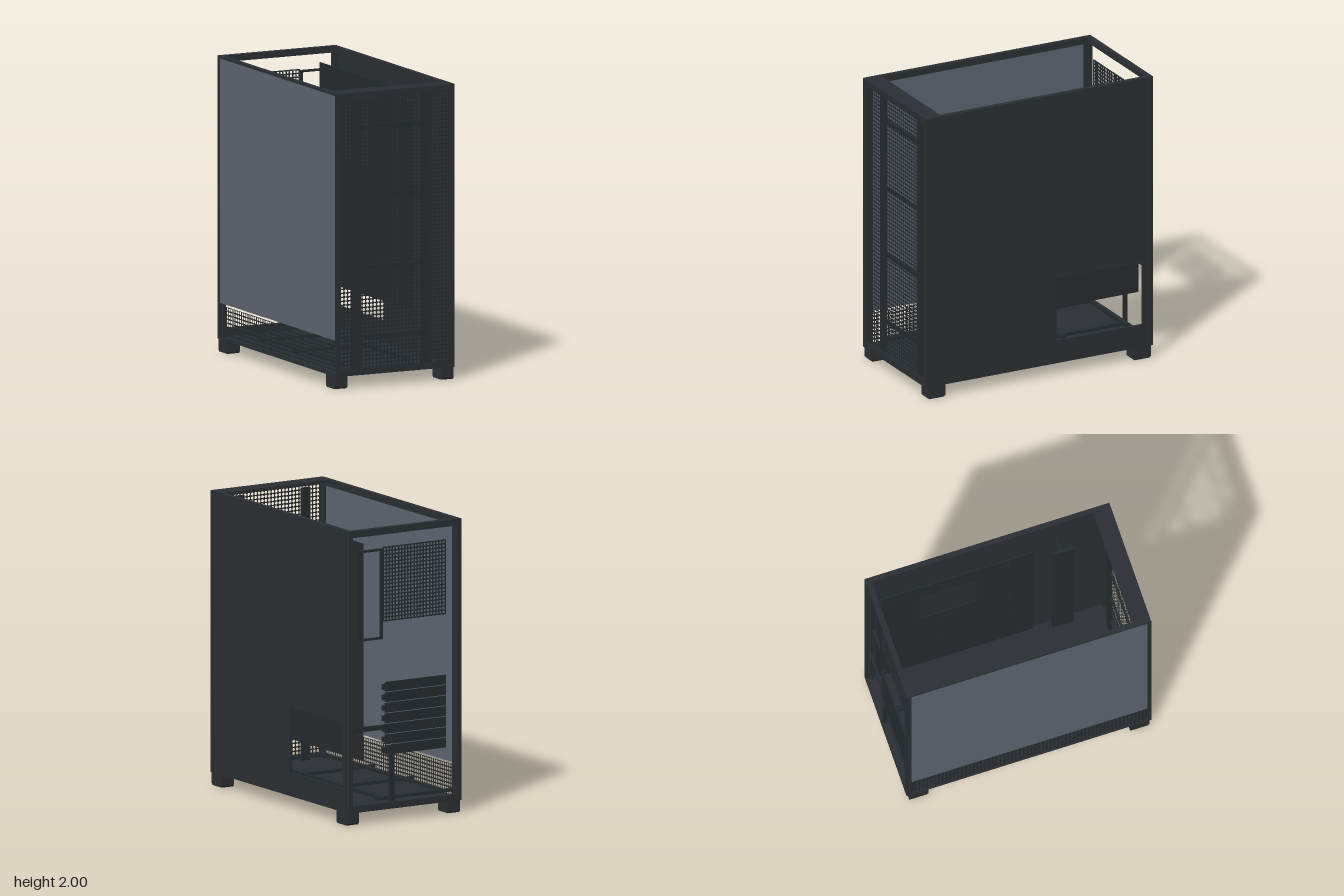
import * as THREE from 'three';
import { mergeGeometries } from 'three/addons/utils/BufferGeometryUtils.js';

const body = new THREE.MeshStandardMaterial({ color: 0x2a2f33 });
body.name = 'charcoal steel';
const inner = new THREE.MeshStandardMaterial({ color: 0x262b2e, side: THREE.DoubleSide });
inner.name = 'dark inner steel';
const glassMat = new THREE.MeshStandardMaterial({ color: 0x5e6471 });
glassMat.name = 'smoky glass';

// Box geometry from its limits along each axis
function span(x0, x1, y0, y1, z0, z1) {
  return new THREE.BoxGeometry(x1 - x0, y1 - y0, z1 - z0)
    .translate((x0 + x1) / 2, (y0 + y1) / 2, (z0 + z1) / 2);
}

function rect(Type, x0, x1, y0, y1) {
  return new Type([[x0, y0], [x1, y0], [x1, y1], [x0, y1]].map(p => new THREE.Vector2(...p)));
}

// Sheet of square tiles, each with a round hole, lying in the xy plane
function perforated(w, h, cols, rows, radius) {
  const tw = w / cols, th = h / rows;
  const shape = rect(THREE.Shape, -tw / 2, tw / 2, -th / 2, th / 2);
  const hole = [];
  for (let i = 0; i < 8; i++) {
    const a = (i + 0.5) * Math.PI / 4;
    hole.push(new THREE.Vector2(Math.cos(a) * radius, Math.sin(a) * radius));
  }
  shape.holes.push(new THREE.Path(hole));
  const tile = new THREE.ShapeGeometry(shape);
  const tiles = [];
  for (let i = 0; i < cols; i++) {
    for (let j = 0; j < rows; j++) {
      tiles.push(tile.clone().translate((i + 0.5) * tw - w / 2, (j + 0.5) * th - h / 2, 0));
    }
  }
  return mergeGeometries(tiles);
}

// Upright plate facing x, with an opening; all limits are [z0, z1, y0, y1]
function sidePlate(outer, opening, x, depth) {
  const flip = ([z0, z1, y0, y1]) => [-z1, -z0, y0, y1];
  const shape = rect(THREE.Shape, ...flip(outer));
  shape.holes.push(rect(THREE.Path, ...flip(opening)));
  return new THREE.ExtrudeGeometry(shape, { depth, bevelEnabled: false })
    .rotateY(Math.PI / 2).translate(x, 0, 0);
}

// Rectangular frame facing z
function frame(x0, x1, y0, y1, z0, z1, side, bottom, top) {
  const shape = rect(THREE.Shape, x0, x1, y0, y1);
  shape.holes.push(rect(THREE.Path, x0 + side, x1 - side, y0 + bottom, y1 - top));
  return new THREE.ExtrudeGeometry(shape, { depth: z1 - z0, bevelEnabled: false }).translate(0, 0, z0);
}

export function createModel() {
  const group = new THREE.Group();
  const add = (name, geometry, material) => {
    const mesh = new THREE.Mesh(geometry, material);
    mesh.name = name;
    group.add(mesh);
    return mesh;
  };

  // Outer shell: floor, top ring, front and back frames
  add('floor', span(-0.445, 0.445, 0.085, 0.1, -0.86, 0.86), body);
  add('topFrontPlate', span(-0.445, 0.445, 1.985, 2, 0.735, 0.86), body);
  add('topBackRail', span(-0.445, 0.445, 1.985, 2, -0.86, -0.82), body);
  add('frontFrame', frame(-0.445, 0.445, 0.1, 1.985, 0.84, 0.86, 0.035, 0.03, 0.03), body);
  add('backFrame', frame(-0.445, 0.445, 0.1, 1.985, -0.86, -0.832, 0.035, 0.03, 0.03), body);
  for (const s of [-1, 1]) {
    const a = Math.min(s * 0.445, s * 0.41), b = Math.max(s * 0.445, s * 0.41);
    add('topSideRail', span(a, b, 1.985, 2, -0.82, 0.735), body);
    const c = Math.min(s * 0.428, s * 0.41), d = Math.max(s * 0.428, s * 0.41);
    add('upperInnerRail', span(c, d, 1.955, 1.985, -0.82, 0.83), body);
    add('frontPost', span(c, d, 0.1, 1.955, 0.8, 0.83), body);
    add('backPost', span(c, d, 0.1, 1.955, -0.822, -0.8), body);
  }

  // Side panels: steel with a service opening on the left, glass over mesh on the right
  add('steelSidePanel', sidePlate([-0.822, 0.831, 0.1, 1.985], [-0.78, -0.13, 0.245, 0.69], 0.43, 0.015), body);
  add('glassSidePanel', span(-0.445, -0.43, 0.33, 1.985, -0.822, 0.831), glassMat);
  const strip = perforated(1.653, 0.215, 61, 8, 0.0105).rotateY(-Math.PI / 2).translate(-0.438, 0.207, 0.0045);
  add('lowerSideMesh', strip, inner);

  // Perforated front and the fan bracket behind it
  add('frontMesh', perforated(0.82, 1.825, 30, 67, 0.0108).translate(0, 1.0425, 0.85), inner);
  for (const x of [-0.265, 0.255]) {
    add('fanUpright', span(x - 0.034, x + 0.034, 0.1, 1.955, 0.79, 0.805), inner);
  }
  for (let i = 0; i < 4; i++) {
    const y = 0.325 + i * 0.475;
    add('fanCrossbar', span(-0.231, 0.221, y - 0.014, y + 0.014, 0.79, 0.805), inner);
  }

  // Floor rails
  for (const x of [-0.34, 0.14]) {
    add('floorRail', span(x - 0.015, x + 0.015, 0.14, 0.16, -0.82, 0.735), inner);
  }
  for (const z of [-0.803, -0.315, 0.17]) {
    add('floorCrossRail', span(-0.41, 0.195, 0.142, 0.162, z - 0.015, z + 0.015), inner);
  }

  // Component tray with its standoffs and cable cover
  add('tray', sidePlate([-0.82, 0.28, 0.425, 1.9], [-0.52, -0.12, 1.3, 1.72], 0.302, 0.008), inner);
  for (const z of [-0.7, -0.35, 0.105]) {
    for (const y of [0.9, 1.2, 1.82]) {
      const peg = new THREE.CylinderGeometry(0.008, 0.008, 0.014, 8).rotateZ(Math.PI / 2);
      add('standoff', peg.translate(0.296, y, z), inner);
    }
  }
  add('cableCover', span(0.258, 0.286, 0.45, 1.85, 0.4, 0.55), inner);
  for (const y of [0.6, 1.7]) add('cableCoverMount', span(0.286, 0.43, y - 0.008, y + 0.008, 0.47, 0.485), inner);

  // Rear fan grille made of crossing bars
  const bars = [];
  for (let i = 0; i <= 20; i++) {
    const x = -0.335 + i * 0.0245, y = 1.36 + i * 0.025;
    bars.push(span(x - 0.004, x + 0.004, 1.356, 1.864, -0.832, -0.826));
    bars.push(span(-0.339, 0.159, y - 0.004, y + 0.004, -0.833, -0.827));
  }
  add('rearGrille', mergeGeometries(bars), inner);

  // Rear port frame, expansion covers and supports
  add('portFrame', frame(0.163, 0.355, 1.24, 1.855, -0.84, -0.82, 0.014, 0.014, 0.014), inner);
  for (let i = 0; i < 7; i++) {
    const y = 0.45 + i * 0.0715;
    add('slotCover', span(-0.338, 0.14, y, y + 0.065, -0.836, -0.826), inner);
    add('slotTab', span(0.14, 0.16, y + 0.015, y + 0.05, -0.836, -0.815), inner);
  }
  add('rearCrossbar', span(0.14, 0.41, 0.625, 0.657, -0.845, -0.825), inner);
  add('rearUpright', span(0.075, 0.108, 0.13, 0.45, -0.845, -0.825), inner);

  // Feet with chamfered lower edges
  const profile = new THREE.Shape([[-0.068, 0.085], [-0.068, 0.012], [-0.056, 0], [0.056, 0], [0.068, 0.012],
    [0.068, 0.085]].map(p => new THREE.Vector2(...p)));
  const foot = new THREE.ExtrudeGeometry(profile, { depth: 0.09, bevelEnabled: false })
    .translate(0, 0, -0.045).rotateY(Math.PI / 2);
  for (const x of [-0.4, 0.4]) {
    for (const z of [-0.775, 0.778]) add('foot', foot, body).position.set(x, 0, z);
  }
  return group;
}
